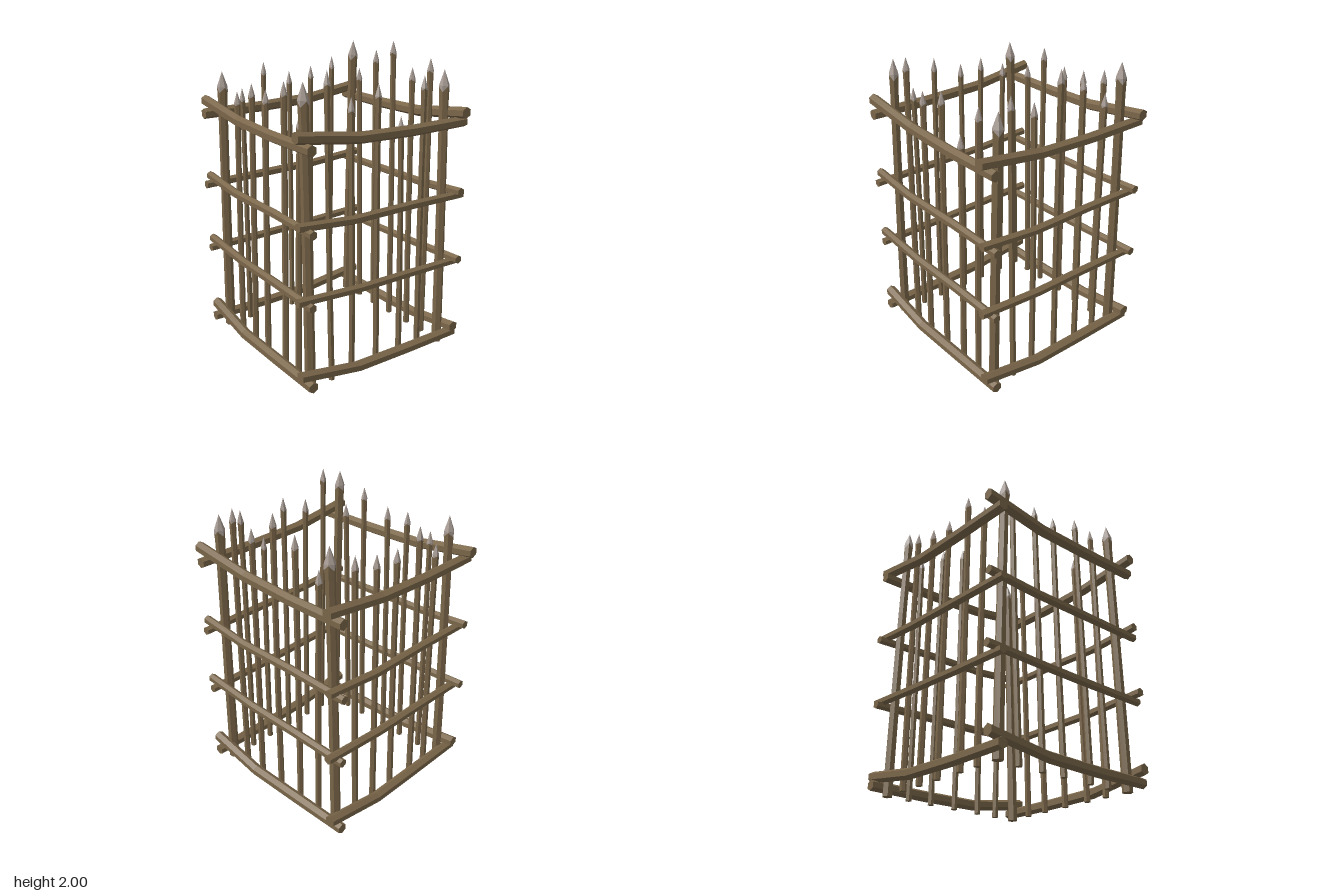
import * as THREE from 'three';

const SIDES = 6;

// Ring of points around a centre, lying across the given axis
function ring(c, r, axis, jag = 0) {
  return Array.from({ length: SIDES }, (_, j) => {
    const a = (j / SIDES) * Math.PI * 2;
    const u = Math.cos(a) * r, v = Math.sin(a) * r;
    return axis === 'x'
      ? [c[0], c[1] + u, c[2] + v]
      : [c[0] + u, c[1] - (j % 2 ? jag : 0), c[2] - v];
  });
}

// Skin a row of rings, with optional flat ends
function loft(rings, capped = true) {
  const pos = rings.flat(2), idx = [];
  const n = rings.length;
  for (let i = 0; i < n - 1; i++) {
    for (let j = 0; j < SIDES; j++) {
      const k = (j + 1) % SIDES;
      const a = i * SIDES + j, b = i * SIDES + k;
      idx.push(a, b, a + SIDES, b, b + SIDES, a + SIDES);
    }
  }
  if (capped) {
    const e = (n - 1) * SIDES;
    for (let j = 1; j < SIDES - 1; j++) {
      idx.push(0, j + 1, j, e, e + j, e + j + 1);
    }
  }
  const g = new THREE.BufferGeometry();
  g.setAttribute('position', new THREE.Float32BufferAttribute(pos, 3));
  g.setIndex(idx);
  const flat = g.toNonIndexed();
  flat.computeVertexNormals();
  return flat;
}

export function createModel() {
  const wood = new THREE.MeshStandardMaterial({ color: 0x7a6649, flatShading: true });
  wood.name = 'brown wood';
  const cut = new THREE.MeshStandardMaterial({ color: 0xa89c94, flatShading: true });
  cut.name = 'pale cut wood';

  const model = new THREE.Group();
  model.name = 'stakeCage';

  function add(parent, name, geometry, material) {
    const mesh = new THREE.Mesh(geometry, material);
    mesh.name = name;
    parent.add(mesh);
  }

  // Upright pole with a slight bend and a sharpened, chipped tip
  function pole(parent, name, base, top, height, r, bend) {
    const group = new THREE.Group();
    group.name = name;
    const at = (y) => {
      const t = y / height, w = Math.sin(t * Math.PI) * bend;
      return [
        base[0] + (top[0] - base[0]) * t + w, y,
        base[1] + (top[1] - base[1]) * t,
      ];
    };
    const shoulder = height - 0.04 - r * 1.8;
    add(group, 'shaft', loft([
      ring(at(0), r, 'y'),
      ring(at(height * 0.33), r * 0.95, 'y'),
      ring(at(height * 0.66), r * 0.9, 'y'),
      ring(at(shoulder - 0.1), r * 0.9, 'y'),
      ring(at(shoulder), r, 'y'),
    ]), wood);
    add(group, 'tip', loft([
      ring(at(shoulder), r + 0.001, 'y', r * r * 30),
      ring(at(shoulder + 0.004), r, 'y'),
      ring(at(height), 0.0005, 'y'),
    ], false), cut);
    parent.add(group);
  }

  // Rails of one side: radius and points (x, y, z)
  const rails = [
    [0.037, [[-0.63, 0.135, 0.57], [-0.2, 0.07, 0.578], [0.2, 0.063, 0.57], [0.62, 0.066, 0.568]]],
    [0.029, [[-0.645, 0.635, 0.57], [-0.2, 0.612, 0.577], [0.2, 0.605, 0.57], [0.625, 0.598, 0.57]]],
    [0.029, [[-0.635, 1.1, 0.57], [-0.25, 1.07, 0.578], [0.2, 1.068, 0.57], [0.635, 1.06, 0.57]]],
    [0.037, [[-0.645, 1.62, 0.57], [-0.2, 1.558, 0.565], [0.2, 1.546, 0.57], [0.625, 1.548, 0.57]]],
  ];

  // Stakes of each side: depth of feet and tips, then position along the side and height
  const sides = [
    ['front', 0.51, 0.48, [[-0.37, 1.71], [-0.18, 1.79], [-0.01, 1.78], [0.2, 1.86], [0.37, 1.7]]],
    ['left', 0.51, 0.48, [[-0.37, 1.95], [-0.2, 1.78], [0, 1.84], [0.18, 1.62], [0.36, 1.85]]],
    ['back', 0.525, 0.505, [[-0.37, 1.93], [-0.2, 1.85], [0, 2], [0.18, 1.92], [0.37, 1.77]]],
    ['right', 0.525, 0.505, [[-0.36, 1.85], [-0.18, 1.8], [0, 1.78], [0.2, 1.86], [0.37, 1.7]]],
  ];

  sides.forEach(([name, footDepth, tipDepth, stakes], k) => {
    const side = new THREE.Group();
    side.name = name + 'Side';
    side.rotation.y = (k * Math.PI) / 2;
    for (const [r, path] of rails) {
      const last = path.length - 1;
      add(side, 'rail', loft(path.map((p, i) => ring(p, i === last ? r * 0.95 : r, 'x'))), wood);
    }
    stakes.forEach(([x, h], i) => {
      const lean = [0.012, 0, -0.003, 0.008, -0.01][i];
      pole(side, 'stake', [x + lean, footDepth], [x, tipDepth], h, 0.021, i % 2 ? 0.004 : -0.004);
    });
    model.add(side);
  });

  // Thick corner posts, leaning inwards
  for (const [sx, sz, h] of [[-1, 1, 1.83], [1, 1, 1.9], [1, -1, 1.87], [-1, -1, 1.95]]) {
    pole(model, 'cornerPost', [sx * 0.52, sz * 0.525], [sx * 0.475, sz * 0.528], h, 0.034, sx * 0.004);
  }
  return model;
}
